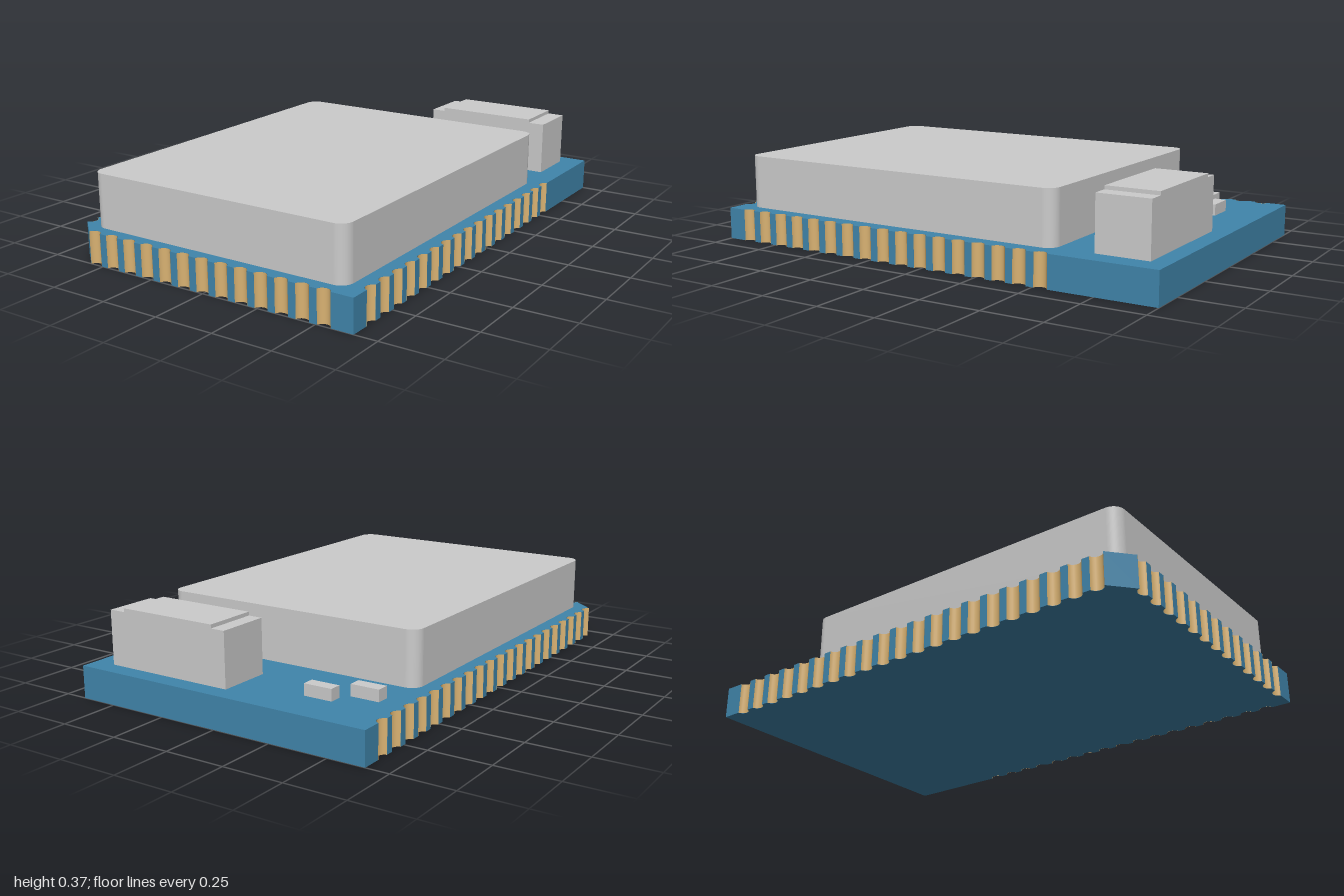
import * as THREE from 'three';

const HALF_W = 0.655, HALF_D = 1, BOARD_H = 0.133;
const PITCH = 0.089, NOTCH_R = 0.03, NOTCH_OUT = 0.008;
const NOTCH_HALF_ANGLE = Math.acos(NOTCH_OUT / NOTCH_R);

// Edge notches in plan (x, y = -z), counter-clockwise; angle points into the board
function notchList() {
  const list = [];
  for (let i = 0; i < 13; i++)
    list.push({ x: (i - 6) * PITCH, y: -HALF_D - NOTCH_OUT, angle: Math.PI / 2 });
  for (let i = 0; i < 17; i++)
    list.push({ x: HALF_W + NOTCH_OUT, y: (i - 10) * PITCH, angle: Math.PI });
  for (let i = 0; i < 21; i++)
    list.push({ x: -HALF_W - NOTCH_OUT, y: (10 - i) * PITCH, angle: 0 });
  return list;
}

// Plan shape extruded upwards from y = 0
function extrudeUp(shape, height, curveSegments) {
  const geo = new THREE.ExtrudeGeometry(shape, { depth: height, bevelEnabled: false, curveSegments });
  return geo.rotateX(-Math.PI / 2);
}

function boardGeometry(notches) {
  const shape = new THREE.Shape();
  const cut = n => shape.absarc(n.x, n.y, NOTCH_R,
    n.angle + NOTCH_HALF_ANGLE, n.angle - NOTCH_HALF_ANGLE, true);
  shape.moveTo(-HALF_W, -HALF_D);
  notches.slice(0, 13).forEach(cut);
  shape.lineTo(HALF_W, -HALF_D);
  notches.slice(13, 30).forEach(cut);
  shape.lineTo(HALF_W, HALF_D);
  shape.lineTo(-HALF_W, HALF_D);
  notches.slice(30).forEach(cut);
  shape.closePath();
  return extrudeUp(shape, BOARD_H, 10);
}

function roundedRect(w, d, r) {
  const s = new THREE.Shape();
  const x = w / 2 - r, y = d / 2 - r;
  s.absarc(x, -y, r, -Math.PI / 2, 0, false);
  s.absarc(x, y, r, 0, Math.PI / 2, false);
  s.absarc(-x, y, r, Math.PI / 2, Math.PI, false);
  s.absarc(-x, -y, r, Math.PI, Math.PI * 1.5, false);
  s.closePath();
  return s;
}

export function createModel() {
  const model = new THREE.Group();
  model.name = 'radioModule';
  const grey = new THREE.MeshStandardMaterial({ color: 0xcccccc });
  const blue = new THREE.MeshStandardMaterial({ color: 0x4085ab });
  const gold = new THREE.MeshStandardMaterial({ color: 0xd9b272, side: THREE.DoubleSide });

  const add = (name, geo, mat, parent = model) => {
    const mesh = new THREE.Mesh(geo, mat);
    mesh.name = name;
    parent.add(mesh);
    return mesh;
  };
  const addBox = (name, x0, x1, y0, y1, z0, z1, parent) =>
    add(name, new THREE.BoxGeometry(x1 - x0, y1 - y0, z1 - z0), grey, parent)
      .position.set((x0 + x1) / 2, (y0 + y1) / 2, (z0 + z1) / 2);

  // Circuit board with notched edges
  const notches = notchList();
  add('circuitBoard', boardGeometry(notches), blue);

  // Plated walls lining each notch
  const pads = new THREE.Group();
  pads.name = 'edgePads';
  model.add(pads);
  for (const n of notches) {
    const geo = new THREE.CylinderGeometry(NOTCH_R - 0.001, NOTCH_R - 0.001, BOARD_H, 10, 1, true,
      n.angle + Math.PI / 2 - NOTCH_HALF_ANGLE, 2 * NOTCH_HALF_ANGLE);
    add('edgePad', geo, gold, pads).position.set(n.x, BOARD_H / 2, -n.y);
  }

  // Metal shield can with rounded vertical corners
  add('shieldCan', extrudeUp(roundedRect(1.17, 1.49, 0.05), 0.222, 10), grey)
    .position.set(0, BOARD_H, 0.197);

  // Chip antenna with a slightly raised middle
  const antenna = new THREE.Group();
  antenna.name = 'chipAntenna';
  model.add(antenna);
  addBox('antennaBody', 0, 0.563, BOARD_H, 0.355, -0.925, -0.705, antenna);
  addBox('antennaTop', 0.06, 0.493, 0.355, 0.37, -0.925, -0.705, antenna);

  // Small surface-mounted components
  addBox('innerComponent', -0.4, -0.28, BOARD_H, 0.18, -0.825, -0.775);
  addBox('outerComponent', -0.545, -0.425, BOARD_H, 0.18, -0.74, -0.688);

  return model;
}
